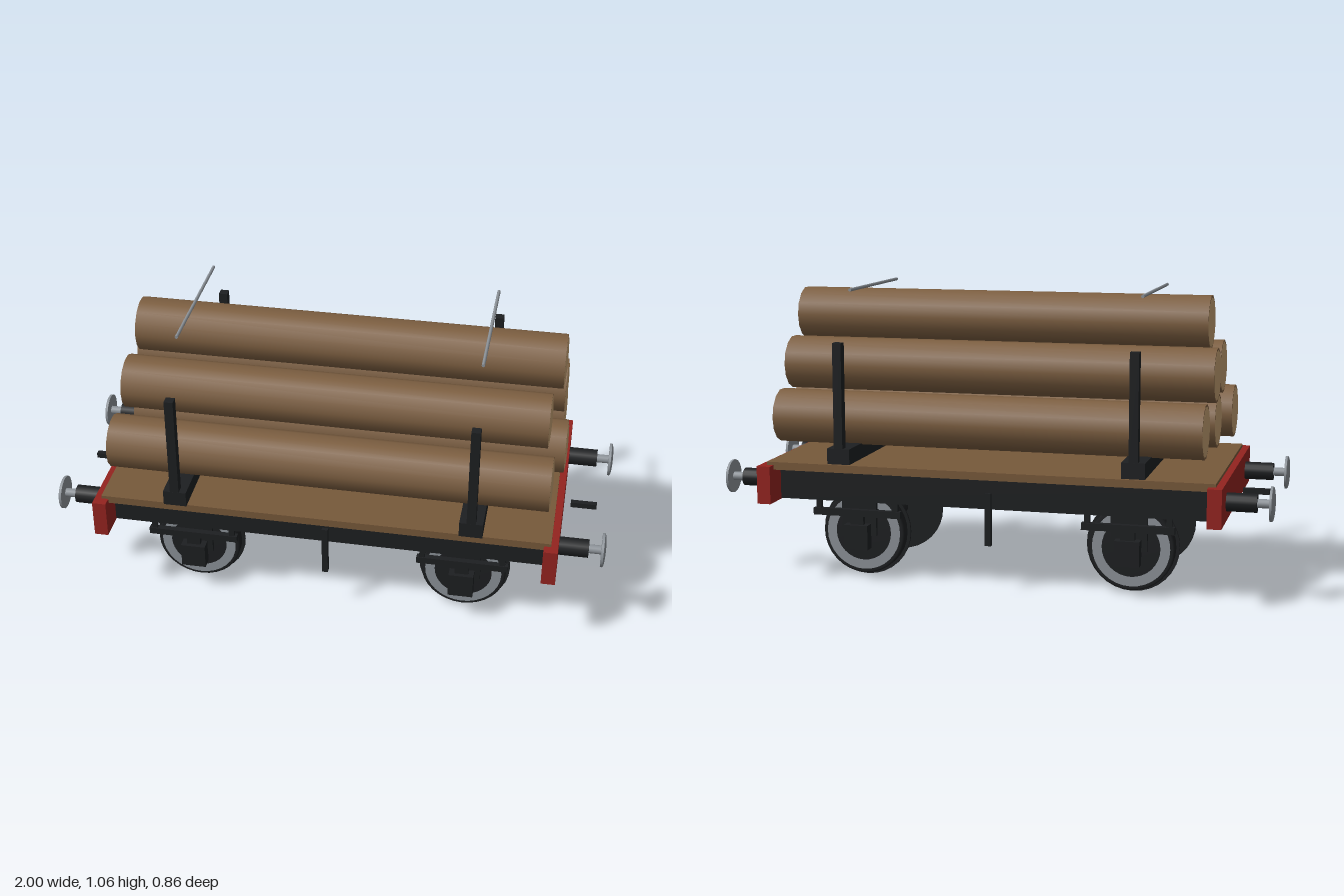
import * as THREE from 'three';

const mat = (color) => new THREE.MeshStandardMaterial({ color });
const black = mat(0x1d1f21), red = mat(0x94231f), steel = mat(0x8c9298);
const bark = mat(0x7d5f41), cutWood = mat(0xc4a072), plank = mat(0x77593a);

function add(parent, name, geometry, material, x = 0, y = 0, z = 0) {
  const mesh = new THREE.Mesh(geometry, material);
  mesh.name = name;
  mesh.position.set(x, y, z);
  parent.add(mesh);
  return mesh;
}

const box = (w, h, d) => new THREE.BoxGeometry(w, h, d);
const rodX = (r, length, n = 16) => new THREE.CylinderGeometry(r, r, length, n).rotateZ(-Math.PI / 2);
const rodZ = (r, length, n = 16) => new THREE.CylinderGeometry(r, r, length, n).rotateX(Math.PI / 2);

// Shallow dome facing +x, with its rim at x = 0
function domeX(r, depth, n) {
  const points = [];
  for (let i = 0; i <= 5; i++) {
    const a = (i / 5) * Math.PI / 2;
    points.push(new THREE.Vector2(r * Math.cos(a), depth * Math.sin(a)));
  }
  return new THREE.LatheGeometry(points, n).rotateZ(-Math.PI / 2);
}

// Log from x0 to x1 with pale, slightly rounded cut ends
function makeLog(x0, x1, y, z) {
  const log = new THREE.Group();
  log.name = 'log';
  const length = x1 - x0 - 0.012;
  add(log, 'bark', rodX(0.097, length, 14), bark);
  for (const s of [-1, 1]) {
    const end = add(log, 'cutEnd', domeX(0.09, 0.006, 14), cutWood, s * length / 2);
    if (s < 0) end.rotation.y = Math.PI;
  }
  log.position.set((x0 + x1) / 2, y, z);
  return log;
}

// Sprung buffer pointing to +x
function makeBuffer() {
  const buffer = new THREE.Group();
  buffer.name = 'buffer';
  add(buffer, 'bufferHousing', rodX(0.033, 0.11), black, 0.885);
  add(buffer, 'bufferRod', rodX(0.016, 0.06), steel, 0.96);
  add(buffer, 'bufferHead', rodX(0.061, 0.008, 24), steel, 0.988);
  add(buffer, 'bufferFace', domeX(0.061, 0.008, 24), steel, 0.992);
  return buffer;
}

// Wheel on the +z side, with its flange on the inside
function makeWheel() {
  const wheel = new THREE.Group();
  wheel.name = 'wheel';
  add(wheel, 'flange', rodZ(0.167, 0.008, 32), black, 0, 0, 0.202);
  const profile = [[0, 0.205], [0.155, 0.205], [0.155, 0.24], [0.148, 0.247], [0, 0.247]]
    .map(([r, h]) => new THREE.Vector2(r, h)).reverse();
  add(wheel, 'tyre', new THREE.LatheGeometry(profile.reverse(), 32).rotateX(Math.PI / 2), black);
  const ring = new THREE.RingGeometry(0.105, 0.14, 32);
  add(wheel, 'tyreFace', ring, steel, 0, 0, 0.2485);
  add(wheel, 'hub', rodZ(0.03, 0.02), steel, 0, 0, 0.246);
  return wheel;
}

// Axle guard, axle box and spring on the +z side
function makeSuspension() {
  const group = new THREE.Group();
  group.name = 'suspension';
  add(group, 'axleGuard', box(0.13, 0.14, 0.015), black, 0, 0.235, 0.288);
  add(group, 'axleBox', box(0.09, 0.09, 0.044), black, 0, 0.165, 0.315);
  add(group, 'springBuckle', box(0.05, 0.045, 0.02), black, 0, 0.225, 0.312);
  add(group, 'spring', box(0.33, 0.025, 0.022), black, 0, 0.252, 0.312);
  for (const s of [-1, 1])
    add(group, 'springHanger', box(0.02, 0.05, 0.015), black, s * 0.145, 0.28, 0.312);
  return group;
}

export function createModel() {
  const model = new THREE.Group();
  model.name = 'logWagon';

  // Deck and underframe
  add(model, 'deck', box(1.62, 0.028, 0.79), plank, 0, 0.427, 0);
  add(model, 'floorFrame', box(1.57, 0.06, 0.58), black, 0, 0.37, 0);
  for (const s of [-1, 1]) {
    add(model, 'soleBar', box(1.57, 0.105, 0.05), black, 0, 0.348, s * 0.303);
    add(model, 'brakeLever', box(0.022, 0.19, 0.02), black, 0, 0.26, s * 0.332);
    add(model, 'bufferBeam', box(0.05, 0.137, 0.86), red, s * 0.81, 0.361, 0);
    add(model, 'couplingHook', box(0.095, 0.02, 0.02), black, s * 0.907, 0.342, 0);
    for (const t of [-1, 1]) {
      const buffer = makeBuffer();
      buffer.position.set(0, 0.36, t * 0.288);
      const side = new THREE.Group();
      side.name = 'bufferMount';
      side.rotation.y = s < 0 ? Math.PI : 0;
      side.add(buffer);
      model.add(side);
    }
  }

  // Wheelsets with their suspension
  for (const x of [-0.497, 0.497]) {
    const wheelset = new THREE.Group();
    wheelset.name = 'wheelset';
    wheelset.position.x = x;
    add(wheelset, 'axle', rodZ(0.026, 0.6), black, 0, 0.167, 0);
    for (const turn of [0, Math.PI]) {
      const wheel = makeWheel();
      wheel.position.y = 0.167;
      wheel.rotation.y = turn;
      const suspension = makeSuspension();
      suspension.rotation.y = turn;
      wheelset.add(wheel, suspension);
    }
    model.add(wheelset);
  }

  // Bolsters, stanchions and tie rods
  for (const x of [-0.53, 0.53]) {
    add(model, 'bolster', box(0.083, 0.056, 0.824), black, x, 0.475, 0);
    for (const s of [-1, 1])
      add(model, 'stanchion', box(0.032, 0.38, 0.033), black, x, 0.69, s * 0.395);
    add(model, 'tieRod', rodZ(0.006, 0.53, 8), steel, x, 1.055, 0);
  }

  // Stacked logs: start, end, height, depth
  const logs = [
    [-0.80, 0.795, 0.592, 0.25], [-0.77, 0.83, 0.592, 0], [-0.76, 0.81, 0.592, -0.25],
    [-0.77, 0.77, 0.773, 0.125], [-0.78, 0.81, 0.773, -0.125],
    [-0.74, 0.803, 0.945, 0],
  ];
  for (const log of logs) model.add(makeLog(...log));

  return model;
}
